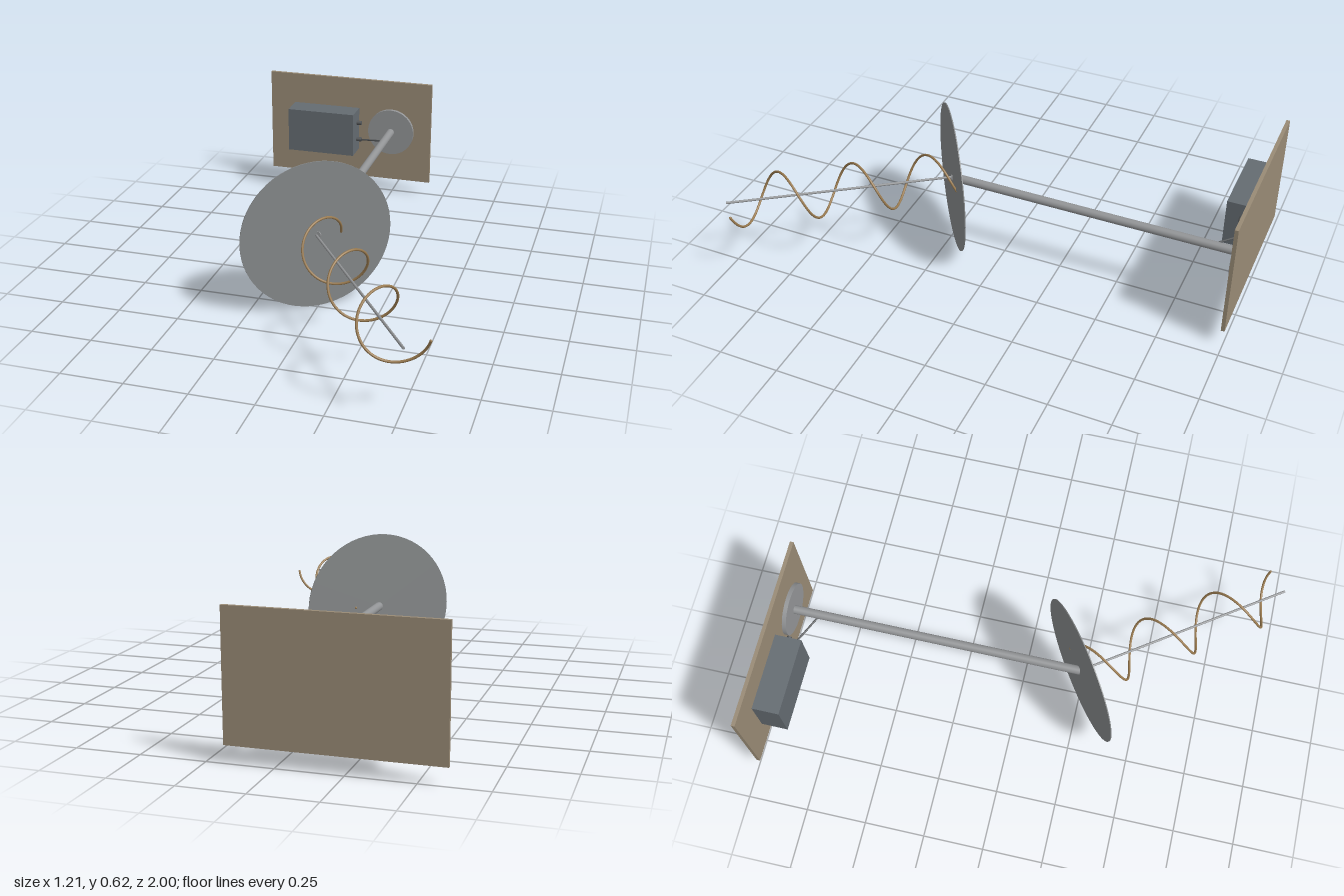
import * as THREE from 'three';

const material = (name, color) => {
  const m = new THREE.MeshStandardMaterial({ color });
  m.name = name;
  return m;
};

// Helix around the +z axis, starting on the +x side
class Helix extends THREE.Curve {
  constructor(radius, length, turns) {
    super();
    Object.assign(this, { radius, length, turns });
  }
  getPoint(t, target = new THREE.Vector3()) {
    const a = t * this.turns * Math.PI * 2;
    return target.set(this.radius * Math.cos(a), this.radius * Math.sin(a), t * this.length);
  }
}

export function createModel() {
  const group = new THREE.Group();
  const board = material('tan board', 0x988a75);
  const boxGray = material('slate gray', 0x646b71);
  const steel = material('steel', 0x929496);
  const dishGray = material('reflector gray', 0x86898a);
  const bronze = material('bronze', 0x9a7b50);
  const dark = material('dark metal', 0x55585a);

  const add = (parent, name, geometry, mat, x = 0, y = 0, z = 0) => {
    const mesh = new THREE.Mesh(geometry, mat);
    mesh.name = name;
    mesh.position.set(x, y, z);
    parent.add(mesh);
    return mesh;
  };
  // Cylinder lying along z from z0 to z1
  const rodZ = (r, z0, z1, sides = 32) =>
    new THREE.CylinderGeometry(r, r, z1 - z0, sides).rotateX(Math.PI / 2).translate(0, 0, (z0 + z1) / 2);

  const cx = -0.007, cy = 0.312;

  // Wall board, equipment box and mast
  add(group, 'wallBoard', new THREE.BoxGeometry(0.79, 0.49, 0.015), board, -0.211, 0.313, -0.9925);
  add(group, 'equipmentBox', new THREE.BoxGeometry(0.32, 0.205, 0.11), boxGray, -0.326, 0.312, -0.93);
  add(group, 'mountFlange', rodZ(0.11, -0.985, -0.968, 48), steel, cx, cy);
  add(group, 'mast', rodZ(0.018, -0.97, 0.24), steel, cx, cy);

  // Sockets on the side of the box
  for (const y of [0.355, 0.272]) {
    const socket = new THREE.CylinderGeometry(0.01, 0.01, 0.024, 16).rotateZ(Math.PI / 2);
    add(group, 'socket', socket, dark, -0.154, y, -0.942);
  }

  // Cable from the lower socket into the mast
  const cable = new THREE.LineCurve3(
    new THREE.Vector3(-0.147, 0.272, -0.94), new THREE.Vector3(-0.015, 0.305, -0.865));
  add(group, 'cable', new THREE.TubeGeometry(cable, 1, 0.004, 10), dark);

  // Antenna head, turned 35 degrees to the left
  const head = new THREE.Group();
  head.name = 'antennaHead';
  head.position.set(cx, cy, 0.24);
  head.rotation.y = THREE.MathUtils.degToRad(35);
  group.add(head);
  add(head, 'reflector', rodZ(0.31, -0.002, 0.002, 64), dishGray);
  add(head, 'boom', rodZ(0.005, 0, 0.925, 12), steel);

  // Three-turn helical wire with closed ends
  const helix = new Helix(0.103, 0.91, 3);
  add(head, 'helixWire', new THREE.TubeGeometry(helix, 180, 0.005, 10), bronze);
  for (const t of [0, 1]) {
    const p = helix.getPoint(t);
    add(head, 'wireEnd', new THREE.SphereGeometry(0.005, 10, 8), bronze, p.x, p.y, p.z);
  }
  return group;
}
